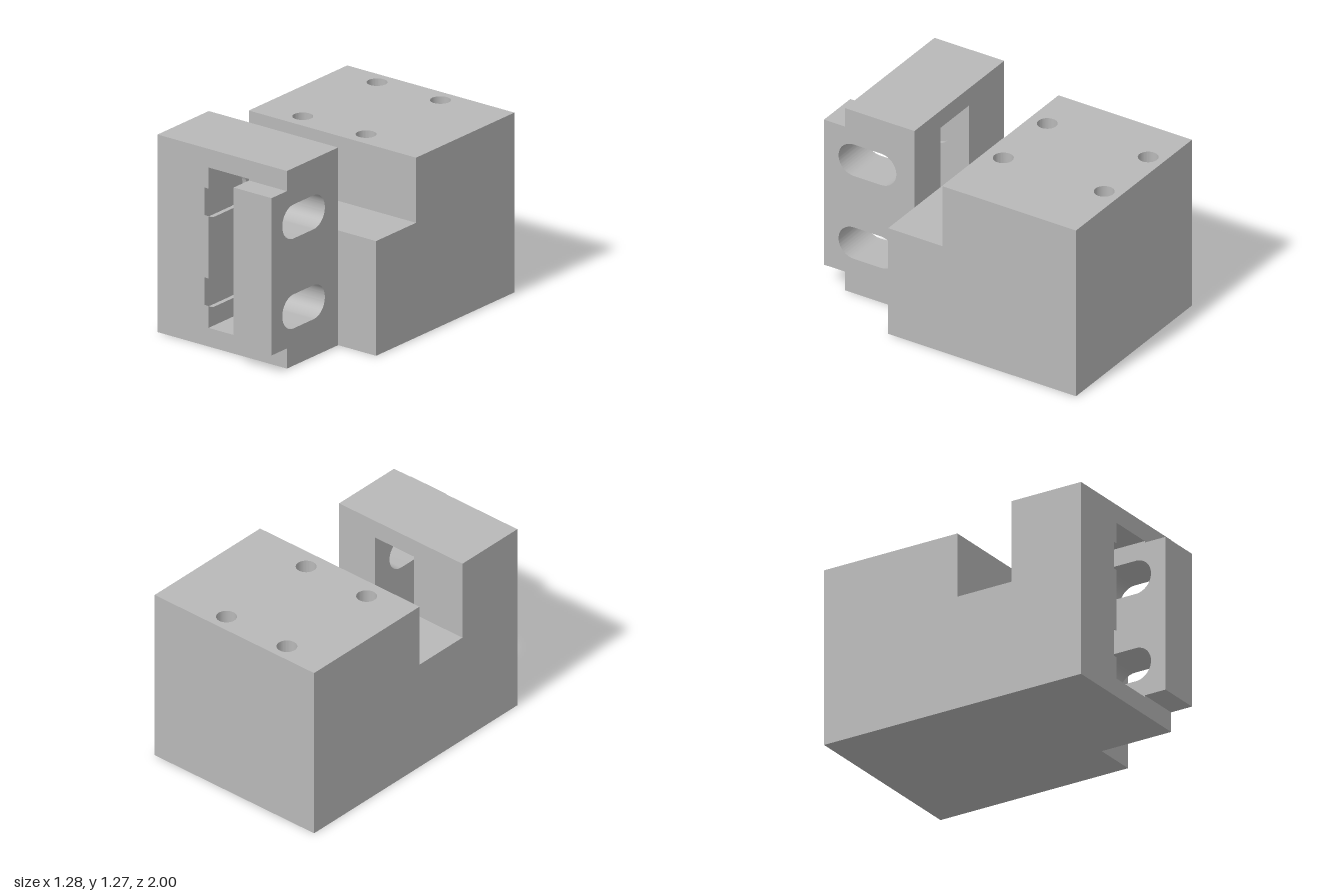
import * as THREE from 'three';
import { toCreasedNormals } from 'three/addons/utils/BufferGeometryUtils.js';

const H = 1.275;            // clamp head height
const BACK = -0.35, FRONT = -0.85; // head faces, in profile coordinates (u = -z)
const SLOT_R = 0.11, SLOT_BACK = -0.59, SLOT_FRONT = -0.785;
const SLOT_Y = [0.93, 0.35];

export function createModel() {
  const group = new THREE.Group();
  const grey = new THREE.MeshStandardMaterial({ color: 0xb8b8b8 });
  grey.name = 'machined grey';

  function add(name, geometry) {
    const mesh = new THREE.Mesh(geometry, grey);
    mesh.name = name;
    group.add(mesh);
  }

  function box(name, x0, x1, y0, y1, z0, z1) {
    const g = new THREE.BoxGeometry(x1 - x0, y1 - y0, z1 - z0);
    g.translate((x0 + x1) / 2, (y0 + y1) / 2, (z0 + z1) / 2);
    add(name, g);
  }

  function extrude(shape, depth) {
    const g = new THREE.ExtrudeGeometry(shape, { depth, bevelEnabled: false, curveSegments: 24 });
    return toCreasedNormals(g, 0.6);
  }

  // Side profile (u = -z, v = y) extruded across x
  function slice(name, shape, x0, x1) {
    add(name, extrude(shape, x1 - x0).rotateY(Math.PI / 2).translate(x0, 0, 0));
  }

  const polygon = (points) => new THREE.Shape(points.map(([u, v]) => new THREE.Vector2(u, v)));

  // Base with its step
  box('base', -0.64, 0.64, 0, 0.74, -1, 0.35);

  // Raised rear block with four blind bolt holes
  const top = polygon([[-0.64, 0.04], [0.64, 0.04], [0.64, 1], [-0.64, 1]]);
  for (const x of [-0.325, 0.16]) {
    for (const z of [-0.89, -0.165]) {
      top.holes.push(new THREE.Path().absarc(x, -z, 0.063, 0, Math.PI * 2, true));
    }
  }
  add('rearBlock', extrude(top, 0.42).rotateX(-Math.PI / 2).translate(0, 0.74, 0));

  // Head: solid right cheek, which also closes the shallow slot recesses
  box('rightCheek', -0.64, -0.28, 0, H, 0.35, 0.85);

  // Pocket wall with slot recesses that break out through the front face
  const wall = polygon([[FRONT, 0], [BACK, 0], [BACK, H], [FRONT, H]]);
  const a = Math.acos((SLOT_FRONT - FRONT) / SLOT_R);
  for (const y of SLOT_Y) {
    wall.absarc(SLOT_FRONT, y, SLOT_R, Math.PI - a, Math.PI / 2, true);
    wall.absarc(SLOT_BACK, y, SLOT_R, Math.PI / 2, -Math.PI / 2, true);
    wall.absarc(SLOT_FRONT, y, SLOT_R, Math.PI * 1.5, Math.PI + a, true);
  }
  slice('pocketWall', wall, -0.28, -0.25);

  // Rails above and below the open pocket
  box('lowerRail', -0.25, 0.06, 0, 0.12, 0.35, 0.85);
  box('upperRail', -0.25, 0.06, 1.155, H, 0.35, 0.85);

  // Left cheek with the projecting bar and two through slots
  const cheek = polygon([
    [FRONT, 0], [BACK, 0], [BACK, H], [FRONT, H],
    [FRONT, 1.145], [-1, 1.145], [-1, 0.13], [FRONT, 0.13],
  ]);
  for (const y of SLOT_Y) {
    const slot = new THREE.Path();
    slot.absarc(SLOT_BACK, y, SLOT_R, Math.PI / 2, -Math.PI / 2, true);
    slot.absarc(SLOT_FRONT, y, SLOT_R, Math.PI * 1.5, Math.PI / 2, true);
    slot.closePath();
    cheek.holes.push(slot);
  }
  slice('leftCheek', cheek, 0.06, 0.35);

  return group;
}
